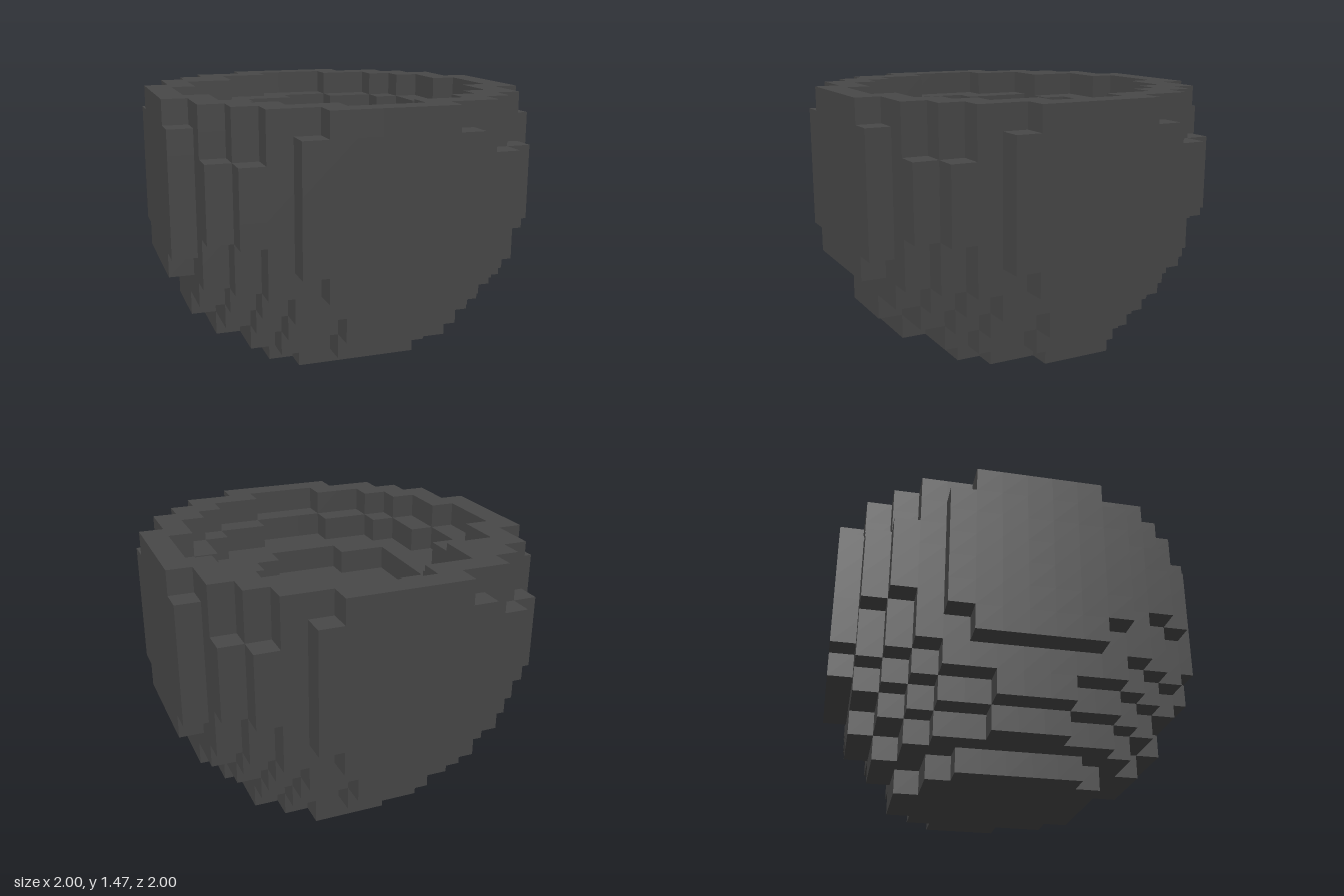
import * as THREE from 'three';
import { mergeGeometries } from 'three/addons/utils/BufferGeometryUtils.js';

const CELL = 2 / 15;   // cubes across the widest part: 15
const MID = 7;         // row holding the widest ring
const TOP = 10;        // rim row

// Hollow of the bowl, as [first x, last x] for z = -6..6, for the three upper rows
const HOLLOW = {
  10: [[-1, 1], [-3, 3], [-3, 4], [-5, 5], [-5, 5], [-6, 6], [-6, 6], [-6, 6], [-5, 5], [-5, 5], [-4, 4], [-3, 3], [-1, 1]],
  9: [null, [0, 1], [-2, 3], [-4, 4], [-4, 4], [-4, 5], [-5, 5], [-5, 5], [-4, 4], [-4, 4], [-3, 3], [-1, 1], null],
  8: [null, null, null, [-2, 1], [-2, 3], [-3, 3], [-3, 3], [-3, 3], [-3, 2], [-1, 1], null, null, null],
};

function inHollow(x, row, z) {
  const span = HOLLOW[row]?.[z + 6];
  return !!span && x >= span[0] && x <= span[1];
}

// Foot is stretched by one cube towards the right and the back
function inFootStep(x, row, z) {
  return row === 0 && ((x === 4 && z >= -2 && z <= 0)
    || (z === -4 && x >= 0 && x <= 2) || (x === 3 && z === -3));
}

function filled(x, row, z) {
  if (row < 0 || row > TOP) return false;
  if (inFootStep(x, row, z)) return true;
  return x * x + (row - MID) ** 2 + z * z < 64 && !inHollow(x, row, z);
}

// One outward square for each side of a cube
const SIDES = [[1, 0, 0], [-1, 0, 0], [0, 1, 0], [0, -1, 0], [0, 0, 1], [0, 0, -1]].map((d) => {
  const square = new THREE.PlaneGeometry(CELL, CELL);
  const normal = new THREE.Vector3(...d);
  square.applyQuaternion(new THREE.Quaternion().setFromUnitVectors(new THREE.Vector3(0, 0, 1), normal));
  square.translate(...normal.multiplyScalar(CELL / 2).toArray());
  return { d, square };
});

// Visible cube sides of a run of rows
function blockRows(name, from, to, material) {
  const squares = [];
  for (let row = from; row <= to; row++) {
    for (let x = -7; x <= 7; x++) {
      for (let z = -7; z <= 7; z++) {
        if (!filled(x, row, z)) continue;
        for (const { d, square } of SIDES) {
          if (filled(x + d[0], row + d[1], z + d[2])) continue;
          squares.push(square.clone().translate(x * CELL, (row + 0.5) * CELL, z * CELL));
        }
      }
    }
  }
  const mesh = new THREE.Mesh(mergeGeometries(squares), material);
  mesh.name = name;
  return mesh;
}

export function createModel() {
  const group = new THREE.Group();
  group.name = 'blockBowl';
  const darkGrey = new THREE.MeshStandardMaterial({ color: 0x484848 });
  darkGrey.name = 'darkGrey';
  group.add(
    blockRows('foot', 0, 0, darkGrey),
    blockRows('body', 1, 7, darkGrey),      // its top is the bowl floor
    blockRows('innerSteps', 8, 9, darkGrey),
    blockRows('rim', 10, TOP, darkGrey),
  );
  return group;
}
